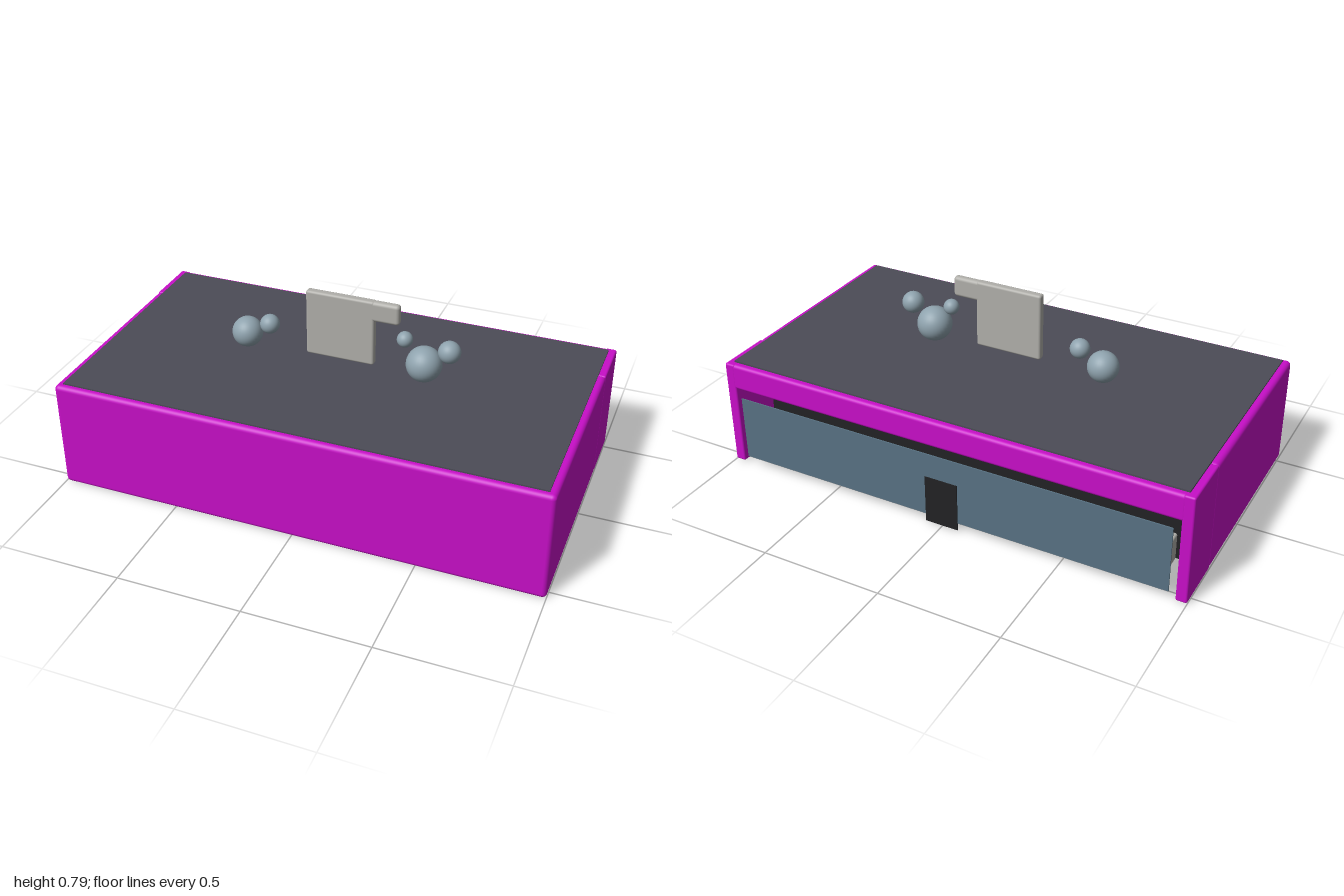
import * as THREE from 'three';
import { RoundedBoxGeometry } from 'three/addons/geometries/RoundedBoxGeometry.js';

const mat = (color) => new THREE.MeshStandardMaterial({ color });
const magenta = mat(0xc80fc8);
const slate = mat(0x4c4c57);
const black = mat(0x222224);
const steelBlue = mat(0x587283);
const paleGrey = mat(0xb0afaa);
const blueGrey = mat(0x8fa3ae);
const lensBlue = mat(0x2c4a78);

export function createModel() {
  const model = new THREE.Group();
  model.name = 'counterDesk';

  const add = (name, geometry, material, x = 0, y = 0, z = 0, parent = model) => {
    const mesh = new THREE.Mesh(geometry, material);
    mesh.name = name;
    mesh.position.set(x, y, z);
    parent.add(mesh);
    return mesh;
  };

  // Box given by its lower and upper limits, rounded when r > 0
  const span = (name, material, [x0, x1], [y0, y1], [z0, z1], r = 0) => {
    const size = [x1 - x0, y1 - y0, z1 - z0];
    const geometry = r
      ? new RoundedBoxGeometry(...size, 3, r)
      : new THREE.BoxGeometry(...size);
    return add(name, geometry, material, (x0 + x1) / 2, (y0 + y1) / 2, (z0 + z1) / 2);
  };

  // Main block and dark top
  span('body', magenta, [-1, 1], [0, 0.457], [-0.318, 0.545], 0.018);
  span('topPanel', slate, [-0.97, 0.97], [0.44, 0.463], [-0.515, 0.52]);

  // Rear recess, open underneath
  for (const side of [-1, 1]) {
    const x = side < 0 ? [-1, -0.955] : [0.955, 1];
    span(side < 0 ? 'rightCheek' : 'leftCheek', magenta, x, [0.002, 0.456], [-0.541, -0.31], 0.008);
  }
  span('rearLintel', magenta, [-0.97, 0.97], [0.345, 0.456], [-0.541, -0.31], 0.014);
  span('recessBacking', black, [-0.955, 0.955], [0.012, 0.35], [-0.324, -0.31]);

  // Thin rear panel with its dark plate
  span('rearPanel', steelBlue, [-0.93, 0.93], [0.037, 0.312], [-0.546, -0.541]);
  span('rearPlate', black, [-0.07, 0.07], [0.006, 0.21], [-0.549, -0.544]);

  // Row of seven blocks with round lenses inside the recess
  const blockGeometry = new RoundedBoxGeometry(0.116, 0.116, 0.12, 2, 0.008);
  const lensGeometry = new THREE.SphereGeometry(0.032, 20, 14);
  for (let i = 0; i < 7; i++) {
    const unit = new THREE.Group();
    unit.name = 'recessBlock' + (i + 1);
    unit.position.set(-0.825 + i * 0.255, 0.09, -0.41);
    model.add(unit);
    add('block', blockGeometry, paleGrey, 0, 0, 0, unit);
    add('lens', lensGeometry, lensBlue, 0, 0.015, -0.06, unit);
  }

  // Upright plate with a side arm, hovering over the top
  span('floatingPlate', paleGrey, [-0.145, 0.14], [0.505, 0.785], [-0.012, 0.023], 0.01);
  span('floatingArm', paleGrey, [0.1, 0.242], [0.7, 0.785], [-0.012, 0.023], 0.014);

  // Floating balls: x, y, radius
  const balls = [
    [-0.41, 0.541, 0.063],
    [-0.31, 0.595, 0.04],
    [0.262, 0.641, 0.032],
    [0.343, 0.548, 0.072],
    [0.443, 0.621, 0.045],
  ];
  balls.forEach(([x, y, r], i) =>
    add('floatingBall' + (i + 1), new THREE.SphereGeometry(r, 32, 20), blueGrey, x, y, 0.004));

  return model;
}
